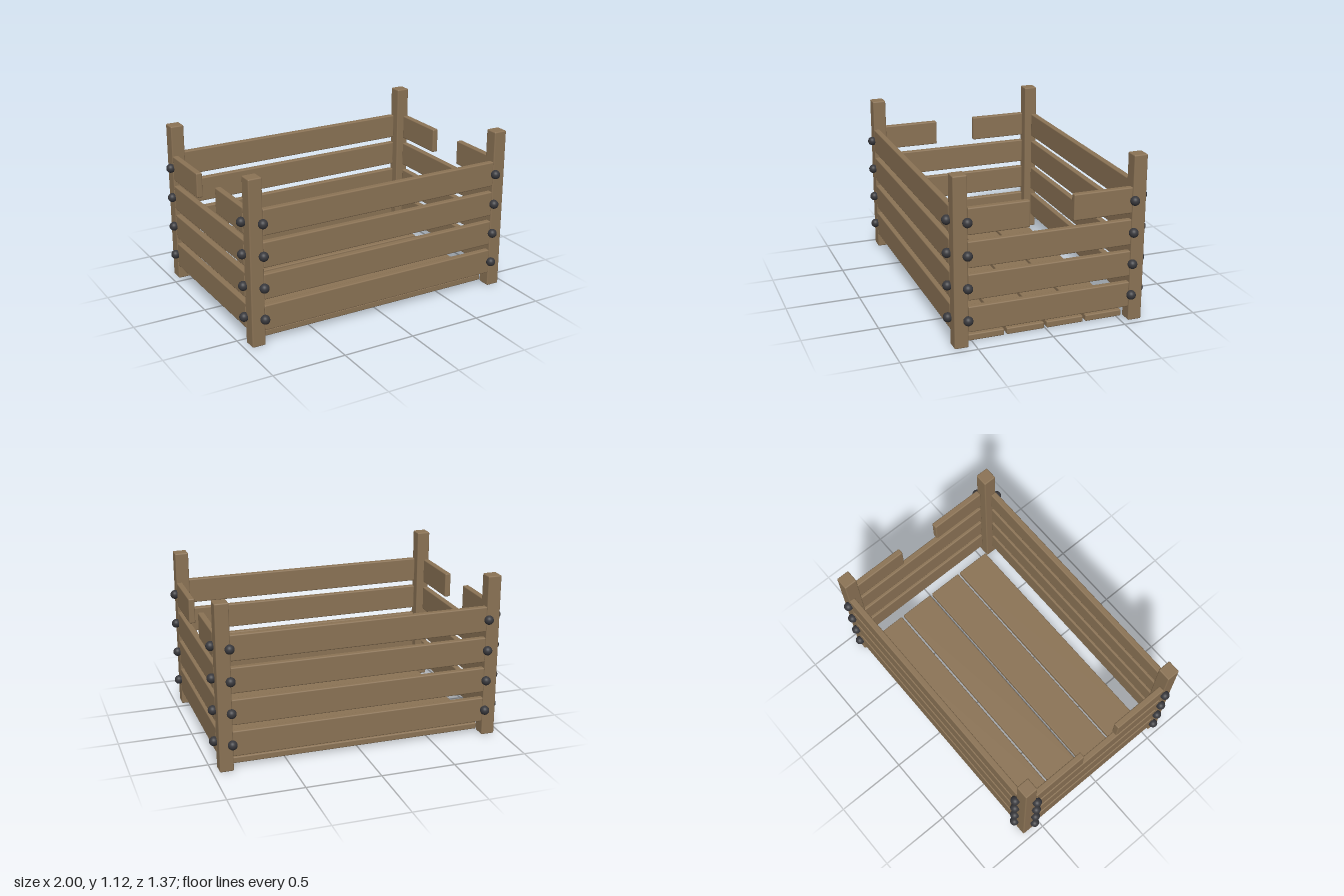
import * as THREE from 'three';
import { RoundedBoxGeometry } from 'three/addons/geometries/RoundedBoxGeometry.js';

const wood = new THREE.MeshStandardMaterial({ color: 0x8b7355 });
wood.name = 'wood';
const iron = new THREE.MeshStandardMaterial({ color: 0x38383c });
iron.name = 'dark iron';

// Outer half sizes of the crate, and plank sizes
const HX = 0.955, HZ = 0.638, POST_W = 0.092, POST_H = 1.12;
const SLAT_H = 0.172, SLAT_T = 0.042, BEVEL = 0.008;
const ROWS = [0, 1, 2, 3].map((i) => 0.186 + i * 0.2137);

export function createModel() {
  const crate = new THREE.Group();
  crate.name = 'crate';

  const plank = (name, w, h, d, x, y, z) => {
    const mesh = new THREE.Mesh(new RoundedBoxGeometry(w, h, d, 2, BEVEL), wood);
    mesh.name = name;
    mesh.position.set(x, y, z);
    crate.add(mesh);
  };

  const boltGeometry = new THREE.SphereGeometry(0.031, 24, 16);
  const bolt = (name, x, y, z) => {
    const mesh = new THREE.Mesh(boltGeometry, iron);
    mesh.name = name;
    mesh.position.set(x, y, z);
    crate.add(mesh);
  };

  // Corner posts
  for (const sx of [-1, 1]) for (const sz of [-1, 1]) {
    plank('cornerPost', POST_W, POST_H, POST_W,
      sx * (HX - POST_W / 2), POST_H / 2, sz * (HZ - POST_W / 2));
  }

  // Floor planks running along x
  for (let i = 0; i < 4; i++) {
    plank('floorPlank', 1.746, 0.044, 0.254, 0, 0.022, (i - 1.5) * 0.2715);
  }

  ROWS.forEach((y, row) => {
    for (const s of [-1, 1]) {
      // Long slats, front and back
      plank(s > 0 ? 'frontSlat' : 'backSlat', 1.728, SLAT_H, SLAT_T,
        0, y, s * (HZ - SLAT_T / 2));

      // End slats; the top row is split to leave a hand hold
      const x = s * (HX - SLAT_T / 2);
      if (row < 3) {
        plank('endSlat', SLAT_T, SLAT_H, 1.09, x, y, 0);
      } else {
        for (const sz of [-1, 1]) {
          plank('shortEndSlat', SLAT_T, SLAT_H, 0.4, x, y, sz * 0.345);
        }
      }

      // Round bolt heads at the slat ends
      for (const t of [-1, 1]) {
        bolt('longSideBolt', t * 0.871, y, s * 0.653);
        bolt('endBolt', s * 0.969, y, t * 0.553);
      }
    }
  });

  return crate;
}
